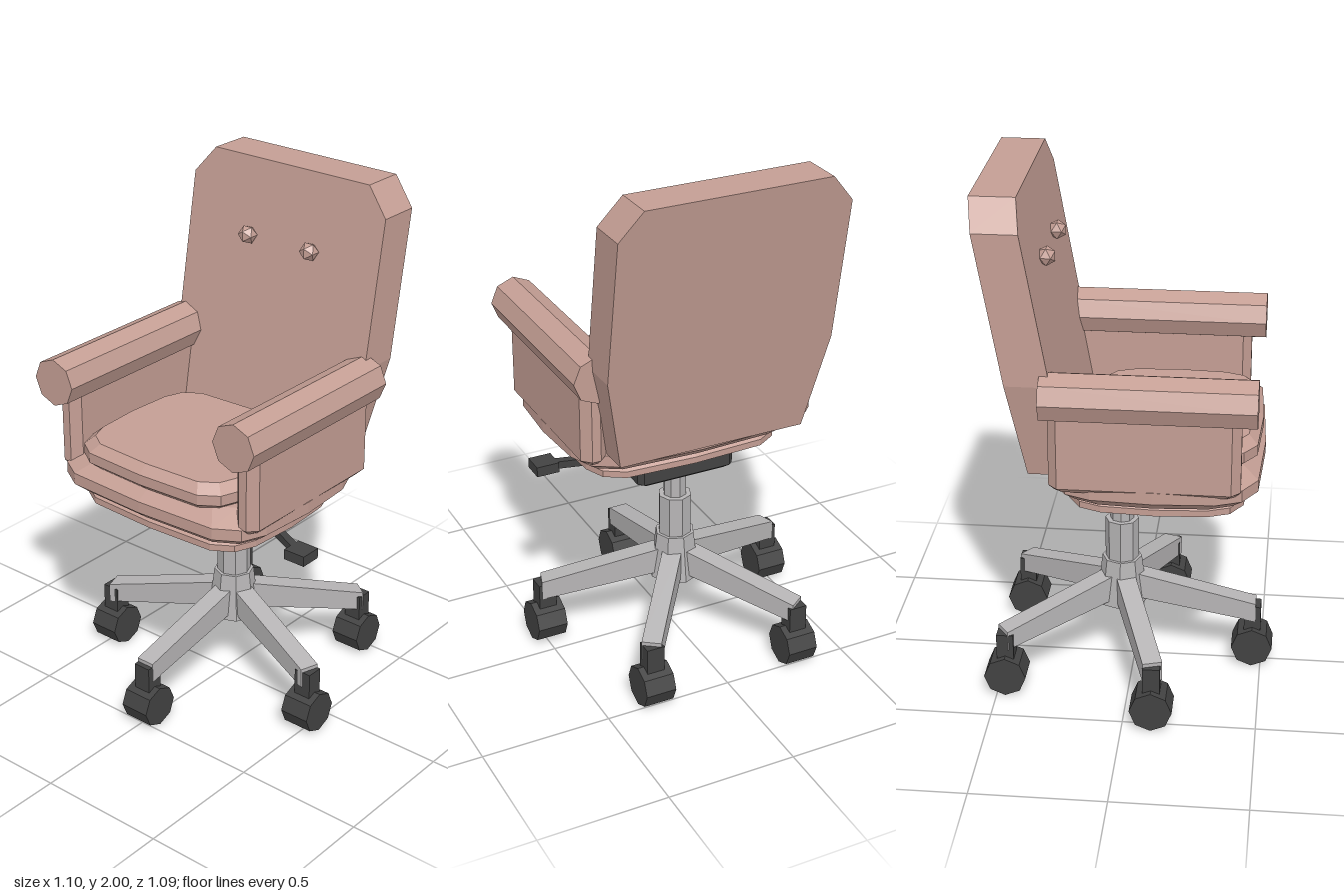
import * as THREE from 'three';

const upholstery = new THREE.MeshStandardMaterial({ color: 0xc49e94 });
upholstery.name = 'dusty pink upholstery';
const metal = new THREE.MeshStandardMaterial({ color: 0xb6b4b5 });
metal.name = 'grey metal';
const plastic = new THREE.MeshStandardMaterial({ color: 0x424242 });
plastic.name = 'dark plastic';

// Faceted mesh with one normal per face
function part(name, geometry, material, x = 0, y = 0, z = 0) {
  const g = geometry.index ? geometry.toNonIndexed() : geometry;
  g.computeVertexNormals();
  const mesh = new THREE.Mesh(g, material);
  mesh.name = name;
  mesh.position.set(x, y, z);
  return mesh;
}

// Stack of horizontal rings: outline is [x, z] pairs, levels are [y, halfX, halfZ]
function loft(outline, levels) {
  const n = outline.length, pos = [], idx = [];
  for (const [y, a, b] of levels) for (const [x, z] of outline) pos.push(x * a, y, z * b);
  for (let k = 0; k < levels.length - 1; k++) {
    for (let i = 0; i < n; i++) {
      const a = k * n + i, b = k * n + (i + 1) % n;
      idx.push(a, b, b + n, a, b + n, a + n);
    }
  }
  const top = (levels.length - 1) * n;
  for (let i = 1; i < n - 1; i++) {
    idx.push(0, i + 1, i);
    idx.push(top, top + i, top + i + 1);
  }
  const g = new THREE.BufferGeometry();
  g.setAttribute('position', new THREE.Float32BufferAttribute(pos, 3));
  g.setIndex(idx);
  return g;
}

// Mirrors a quarter outline (from +z round to +x) into a full loop, running from +z to +x to -z to -x
function fullOutline(quarter) {
  const half = [...quarter, ...quarter.slice().reverse().map(([x, z]) => [x, -z])];
  const all = [...half, ...half.slice().reverse().map(([x, z]) => [-x, z])];
  return all.filter(([x, z], i) => {
    const [px, pz] = all[(i + all.length - 1) % all.length];
    return Math.abs(x - px) + Math.abs(z - pz) > 1e-6;
  });
}

const cushionOutline = fullOutline([[0, 1], [0.7, 0.96], [0.89, 0.82], [0.97, 0.58], [1, 0]]);

// Box with chamfered upright edges and softened top and bottom
function chamferBox(w, h, d, c) {
  const a = w / 2, b = d / 2;
  const outline = fullOutline([[1 - c / a, 1], [1, 1 - c / b]]);
  const s = c * 0.6;
  return loft(outline, [
    [-h / 2, a - s, b - s], [-h / 2 + s, a, b], [h / 2 - s, a, b], [h / 2, a - s, b - s],
  ]);
}

function seat() {
  const g = new THREE.Group();
  g.name = 'seat';
  g.add(part('seatPan', loft(cushionOutline, [
    [0.805, 0.36, 0.295], [0.825, 0.4, 0.335], [0.85, 0.4, 0.335], [0.878, 0.36, 0.3],
  ]), upholstery, 0, 0, 0.105));
  g.add(part('seatBase', loft(cushionOutline, [
    [0.872, 0.43, 0.345], [0.91, 0.475, 0.39], [0.955, 0.475, 0.39], [1.0, 0.4, 0.32],
  ]), upholstery, 0, 0, 0.105));
  g.add(part('seatCushion', loft(cushionOutline, [
    [0.99, 0.335, 0.3], [1.02, 0.37, 0.335], [1.06, 0.37, 0.335], [1.092, 0.335, 0.3],
  ]), upholstery, 0, 0, 0.15));
  return g;
}

function backrest() {
  const g = new THREE.Group();
  g.name = 'backrest';
  const right = [[0.37, 0.96], [0.445, 1.335], [0.445, 1.895], [0.357, 2]];
  const left = right.slice().reverse().map(([x, y]) => [-x, y]);
  const shape = new THREE.Shape([...right, ...left].map(([x, y]) => new THREE.Vector2(x, y)));
  const geo = new THREE.ExtrudeGeometry(shape, { depth: 0.165, bevelEnabled: false });
  // Lean the panel backwards, keeping its top level
  const p = geo.attributes.position;
  for (let i = 0; i < p.count; i++) p.setZ(i, p.getZ(i) - 0.355 - (p.getY(i) - 0.96) * 0.176);
  g.add(part('backPanel', geo, upholstery));
  for (const s of [-1, 1]) {
    g.add(part('backButton', new THREE.IcosahedronGeometry(0.037, 0), upholstery, s * 0.145, 1.717, -0.303));
  }
  return g;
}

function armrest(side) {
  const g = new THREE.Group();
  g.name = side > 0 ? 'leftArmrest' : 'rightArmrest';
  const roll = new THREE.CylinderGeometry(0.092, 0.092, 0.77, 8).rotateX(Math.PI / 2);
  g.add(part('armRoll', roll, upholstery, side * 0.425, 1.295, 0.09));
  g.add(part('armPanel', chamferBox(0.1, 0.32, 0.69, 0.033), upholstery, side * 0.423, 1.095, 0.075));
  return g;
}

function mechanism() {
  const g = new THREE.Group();
  g.name = 'tiltMechanism';
  const outline = fullOutline([[0.9, 1], [1, 0.88]]);
  g.add(part('mechanismBox', loft(outline, [
    [0.718, 0.18, 0.135], [0.735, 0.2, 0.156], [0.81, 0.2, 0.156],
  ]), plastic));
  // Height lever reaching out to the model's left
  const from = new THREE.Vector3(0.15, 0.778, 0.01), to = new THREE.Vector3(0.44, 0.751, 0.125);
  const dir = to.clone().sub(from);
  const lever = part('lever', new THREE.BoxGeometry(dir.length(), 0.03, 0.03), plastic);
  lever.position.copy(from).add(to).multiplyScalar(0.5);
  lever.quaternion.setFromUnitVectors(new THREE.Vector3(1, 0, 0), dir.normalize());
  g.add(lever);
  g.add(part('leverPaddle', new THREE.BoxGeometry(0.09, 0.04, 0.085), plastic, 0.465, 0.75, 0.132));
  return g;
}

function base() {
  const g = new THREE.Group();
  g.name = 'base';
  g.position.z = -0.05;
  g.add(part('upperColumn', new THREE.CylinderGeometry(0.045, 0.045, 0.15, 8), metal, 0, 0.66, 0));
  g.add(part('lowerColumn', new THREE.CylinderGeometry(0.065, 0.065, 0.2, 8), metal, 0, 0.505, 0));
  g.add(part('hub', new THREE.CylinderGeometry(0.077, 0.1, 0.19, 8), metal, 0, 0.345, 0));

  const profile = [[0, 0.285], [0.527, 0.188], [0.527, 0.265], [0, 0.392]];
  const legShape = new THREE.Shape(profile.map(([x, y]) => new THREE.Vector2(x, y)));
  for (let k = 0; k < 5; k++) {
    const a = k * Math.PI * 2 / 5;
    const legGeo = new THREE.ExtrudeGeometry(legShape, { depth: 0.075, bevelEnabled: false });
    legGeo.translate(0, 0, -0.0375).rotateY(-Math.PI / 2);
    const leg = part('leg', legGeo, metal);
    leg.rotation.y = a;
    g.add(leg);

    // Casters all roll straight ahead
    const caster = new THREE.Group();
    caster.name = 'caster';
    caster.position.set(0.515 * Math.sin(a), 0, 0.515 * Math.cos(a));
    const wheel = new THREE.CylinderGeometry(0.08, 0.08, 0.12, 8).rotateZ(Math.PI / 2);
    caster.add(part('wheel', wheel, plastic, 0, 0.08, 0));
    caster.add(part('casterStem', new THREE.BoxGeometry(0.07, 0.13, 0.065), plastic, 0, 0.185, 0));
    g.add(caster);
  }
  return g;
}

export function createModel() {
  const chair = new THREE.Group();
  chair.name = 'officeChair';
  chair.add(seat(), backrest(), armrest(1), armrest(-1), mechanism(), base());
  return chair;
}
